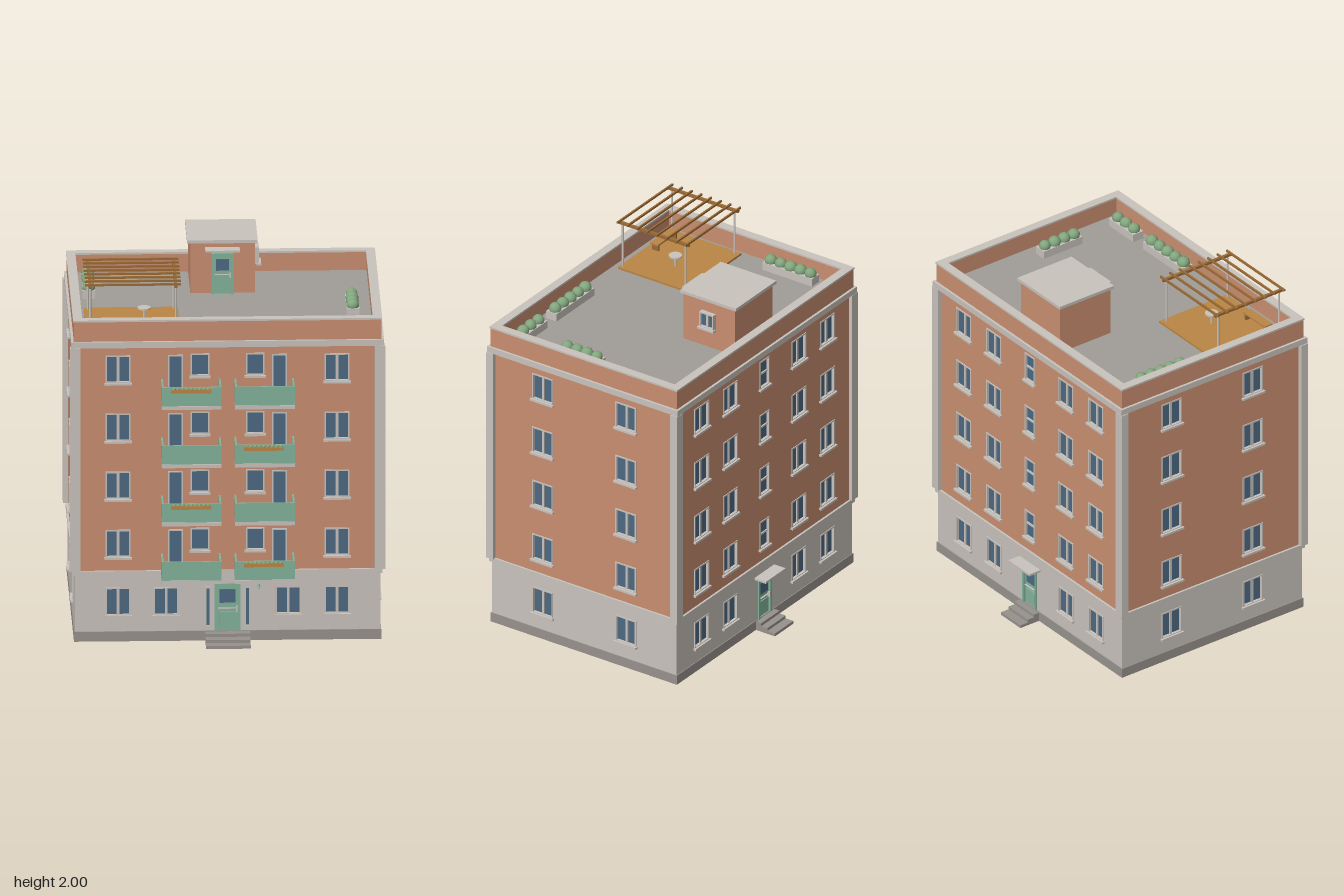
import * as THREE from 'three';

const paint = (name, color) => {
  const m = new THREE.MeshStandardMaterial({ color });
  m.name = name;
  return m;
};
const M = {
  wall: paint('terracotta', 0xc98e70), stone: paint('pale stone', 0xc9c3bd),
  plinth: paint('plinth grey', 0x97928d), roof: paint('roof grey', 0xa19d97),
  mint: paint('mint', 0x83b39b), glass: paint('window glass', 0x4c6982),
  wood: paint('deck wood', 0xbb8645), beam: paint('beam wood', 0x9a6a35),
  leaf: paint('foliage', 0x83a87f),
};
const HW = 0.82, HD = 0.605, ZC = -0.02, T = 0.03, ROOF = 1.7, STEP = 0.328;

function add(parent, name, geo, mat, x = 0, y = 0, z = 0) {
  const m = new THREE.Mesh(geo, mat);
  m.name = name;
  m.position.set(x, y, z);
  parent.add(m);
  return m;
}
// Box given by its minimum and maximum on each axis
function box(parent, name, mat, x0, x1, y0, y1, z0, z1) {
  return add(parent, name, new THREE.BoxGeometry(x1 - x0, y1 - y0, z1 - z0), mat,
    (x0 + x1) / 2, (y0 + y1) / 2, (z0 + z1) / 2);
}
function group(parent, name) {
  const g = new THREE.Group();
  g.name = name;
  parent.add(g);
  return g;
}
function rect(P, x0, x1, y0, y1) {
  const p = new P();
  p.moveTo(x0, y0).lineTo(x1, y0).lineTo(x1, y1).lineTo(x0, y1).closePath();
  return p;
}
// Rectangular plate with rectangular holes, from z = 0 to z = depth
function plate(x0, x1, y0, y1, holes, depth) {
  const s = rect(THREE.Shape, x0, x1, y0, y1);
  s.holes = holes.map((h) => rect(THREE.Path, ...h));
  return new THREE.ExtrudeGeometry(s, { depth, bevelEnabled: false });
}
// Horizontal band around the whole building
function ring(parent, name, mat, out, thick, y0, y1) {
  const w = HW + out, d = HD + out;
  const geo = plate(-w, w, -d, d, [[-w + thick, w - thick, -d + thick, d - thick]], y1 - y0);
  geo.rotateX(-Math.PI / 2);
  add(parent, name, geo, mat, 0, y0, ZC);
}

// Window set in a wall whose outer face is at local z = 0
function windowUnit(parent, o) {
  const { x, w, y0, y1, kind } = o, f = 0.008;
  const g = group(parent, kind === 'door' ? 'balconyDoor' : 'window');
  const a = x - w / 2, b = x + w / 2;
  add(g, 'frame', plate(a, b, y0, y1, [[a + f, b - f, y0 + f, y1 - f]], 0.028), M.stone, 0, 0, -0.024);
  box(g, 'pane', M.glass, a + f, b - f, y0 + f, y1 - f, -0.02, -0.012);
  if (kind === 'double') box(g, 'mullion', M.stone, x - 0.007, x + 0.007, y0 + f, y1 - f, -0.012, -0.004);
  if (kind === 'stair') box(g, 'transom', M.stone, a + f, b - f, (y0 + y1) / 2 - 0.005, (y0 + y1) / 2 + 0.005, -0.012, -0.004);
  if (kind !== 'door' && kind !== 'slim') box(g, 'sill', M.stone, a - 0.007, b + 0.007, y0 - 0.008, y0 + 0.004, -0.01, 0.016);
}

// Panelled door with a small light in its upper half
function doorUnit(parent, name, w, y0, y1, depth = 0) {
  const g = group(parent, name), h = w / 2, f = 0.012;
  add(g, 'frame', plate(-h, h, y0, y1, [[-h + f, h - f, y0, y1 - f]], 0.03), M.mint, 0, 0, -0.022 + depth);
  box(g, 'leaf', M.mint, -h + f, h - f, y0, y1 - f, -0.02 + depth, -0.006 + depth);
  const top = y1 - 0.035, H = y1 - y0;
  box(g, 'light', M.glass, -h * 0.6, h * 0.6, top - H * 0.28, top, -0.006 + depth, -0.002 + depth);
  box(g, 'rail', M.stone, -h * 0.72, h * 0.72, y0 + H * 0.47, y0 + H * 0.485, -0.006 + depth, 0.004 + depth);
  box(g, 'panel', M.mint, -h * 0.6, h * 0.6, y0 + H * 0.1, y0 + H * 0.4, -0.006 + depth, 0 + depth);
  box(g, 'handle', M.stone, h * 0.66, h * 0.76, y0 + H * 0.4, y0 + H * 0.52, -0.006 + depth, 0.008 + depth);
}

// One facade: two wall fields pierced by the openings, then their windows
function facade(parent, name, half, dist, angle, openings, doorHole) {
  const turn = group(parent, name);
  turn.position.z = ZC;
  turn.rotation.y = angle;
  const g = group(turn, name + 'Parts');
  g.position.z = dist;
  const hole = (o) => [o.x - o.w / 2, o.x + o.w / 2, o.y0, o.y1];
  const low = openings.filter((o) => o.y1 < 0.38).map(hole);
  if (doorHole) low.push(doorHole);
  add(g, 'groundWall', plate(-half, half, 0.05, 0.375, low, T), M.stone, 0, 0, -T);
  add(g, 'upperWall', plate(-half, half, 0.375, 1.68, openings.filter((o) => o.y1 > 0.38).map(hole), T), M.wall, 0, 0, -T);
  openings.forEach((o) => windowUnit(g, o));
  return g;
}
const column = (x, w, y0, y1, kind) =>
  [0, 1, 2, 3].map((i) => ({ x, w, y0: y0 + i * STEP, y1: y1 + i * STEP, kind }));
const pair = (x) => [...column(x, 0.135, 0.47, 0.628, 'double'), { x, w: 0.135, y0: 0.142, y1: 0.302, kind: 'double' }];
const ground = (x) => ({ x, w: 0.135, y0: 0.142, y1: 0.302, kind: 'double' });

function steps(parent, half, reach) {
  const g = group(parent, 'entranceSteps');
  reach.forEach((r, i) => box(g, 'step', M.plinth, -half, half, i * 0.017, (i + 1) * 0.017, -0.01, r));
}

// Bushes are faceted balls with a slight seeded squash
let seed = 7;
const rnd = () => (seed = (seed * 16807) % 2147483647) / 2147483647;
function bush(parent, x, y, z, r) {
  const b = add(parent, 'bush', new THREE.IcosahedronGeometry(r, 1), M.leaf, x, y, z);
  b.rotation.set(rnd() * 3, rnd() * 3, rnd() * 3);
  b.scale.set(0.95 + rnd() * 0.12, 0.95 + rnd() * 0.12, 0.95 + rnd() * 0.12);
}
function planter(parent, x0, x1, z0, z1, n) {
  const g = group(parent, 'roofPlanter');
  box(g, 'trough', M.stone, x0, x1, ROOF, ROOF + 0.045, z0, z1);
  const alongX = x1 - x0 > z1 - z0;
  for (let i = 0; i < n; i++) {
    const t = (i + 0.5) / n;
    bush(g, alongX ? x0 + (x1 - x0) * t : (x0 + x1) / 2, ROOF + 0.055, alongX ? (z0 + z1) / 2 : z0 + (z1 - z0) * t, 0.034);
  }
}

// Slab with three mint parapet panels and an optional flower box
function balcony(parent, x, y, boxX) {
  const g = group(parent, 'balcony'), h = 0.16, t = 0.01, zf = 0.735;
  box(g, 'slab', M.stone, x - h, x + h, y, y + 0.02, 0.575, zf + 0.005);
  box(g, 'frontPanel', M.mint, x - h, x + h, y + 0.02, y + 0.125, zf - t, zf);
  for (const s of [-1, 1]) {
    const c = x + s * (h - t / 2);
    box(g, 'sidePanel', M.mint, c - t / 2, c + t / 2, y + 0.02, y + 0.125, 0.58, zf - t);
  }
  if (boxX === undefined) return;
  box(g, 'flowerBox', M.wood, boxX - 0.108, boxX + 0.108, y + 0.098, y + 0.117, zf, zf + 0.02);
  for (let i = 0; i < 9; i++) bush(g, boxX - 0.092 + i * 0.023, y + 0.118, zf + 0.009, 0.009);
}

export function createModel() {
  const model = new THREE.Group();
  model.name = 'apartmentBuilding';

  // Facades
  const frontOpenings = [...pair(-0.588), ...pair(0.588), ground(-0.33), ground(0.326)];
  for (const s of [-1, 1]) {
    frontOpenings.push(...column(s * 0.148, 0.1, 0.505, 0.635, 'single'),
      ...column(s * 0.279, 0.08, 0.386, 0.628, 'door'),
      { x: s * 0.106, w: 0.032, y0: 0.075, y1: 0.302, kind: 'slim' });
  }
  const front = facade(model, 'frontFacade', HW, HD, 0, frontOpenings, [-0.07, 0.07, 0.051, 0.32]);
  doorUnit(front, 'frontDoor', 0.14, 0.051, 0.32);
  steps(front, 0.12, [0.155, 0.105, 0.05]);
  const backOpenings = [-0.588, -0.32, 0.32, 0.588].flatMap(pair).concat(column(0, 0.09, 0.47, 0.64, 'stair'));
  const back = facade(model, 'backFacade', HW, HD, Math.PI, backOpenings, [-0.06, 0.06, 0.051, 0.29]);
  doorUnit(back, 'backDoor', 0.12, 0.051, 0.29);
  box(back, 'backCanopy', M.stone, -0.093, 0.093, 0.308, 0.32, -0.01, 0.075);
  steps(back, 0.086, [0.13, 0.08, 0.04]);
  for (const s of [-1, 1]) {
    facade(model, s > 0 ? 'leftFacade' : 'rightFacade', HD - T, HW, s * Math.PI / 2, [...pair(-0.273), ...pair(0.273)]);
  }

  // Bands, corner pilasters and parapet
  ring(model, 'plinth', M.plinth, 0.005, 0.035, 0, 0.055);
  ring(model, 'beltCourse', M.stone, 0.012, 0.042, 0.373, 0.398);
  ring(model, 'cornice', M.stone, 0.02, 0.05, 1.658, 1.692);
  ring(model, 'parapet', M.wall, 0.006, 0.042, 1.692, 1.802);
  ring(model, 'parapetCap', M.stone, 0.01, 0.05, 1.802, 1.812);
  for (const sx of [-1, 1]) for (const sz of [-1, 1]) {
    add(model, 'cornerPilaster', new THREE.BoxGeometry(0.056, 1.26, 0.045), M.stone,
      sx * 0.818, 1.028, ZC + sz * 0.604);
  }
  box(model, 'roofDeck', M.roof, -0.8, 0.8, ROOF - 0.03, ROOF, ZC - 0.585, ZC + 0.585);

  // Balconies with alternating flower boxes
  for (let i = 0; i < 4; i++) {
    const y = 0.366 + i * STEP;
    balcony(model, -0.198, y, i % 2 ? -0.2 : undefined);
    balcony(model, 0.196, y, i % 2 ? undefined : 0.19);
  }

  // Wall lamp beside the entrance
  const lamp = group(model, 'wallLamp');
  box(lamp, 'bracket', M.mint, 0.161, 0.171, 0.325, 0.333, 0.58, 0.617);
  add(lamp, 'shade', new THREE.CylinderGeometry(0.005, 0.011, 0.018, 10), M.mint, 0.166, 0.318, 0.613);
  add(lamp, 'bulb', new THREE.SphereGeometry(0.008, 10, 8), M.stone, 0.166, 0.305, 0.613);

  // Stair house on the roof
  const house = group(model, 'stairHouse');
  box(house, 'walls', M.wall, -0.175, 0.172, ROOF, 1.982, -0.555, -0.215);
  box(house, 'roofSlab', M.stone, -0.192, 0.187, 1.982, 2, -0.57, -0.205);
  const houseFront = group(house, 'houseFront');
  houseFront.position.set(-0.003, 0, -0.215);
  doorUnit(houseFront, 'roofDoor', 0.118, ROOF, 1.93, 0.021);
  box(houseFront, 'doorCanopy', M.stone, -0.093, 0.093, 1.948, 1.958, -0.005, 0.065);
  const houseSide = group(house, 'houseSide');
  houseSide.position.set(0.194, 0, -0.383);
  houseSide.rotation.y = Math.PI / 2;
  windowUnit(houseSide, { x: 0, w: 0.092, y0: 1.822, y1: 1.915, kind: 'double' });

  // Pergola terrace
  const pergola = group(model, 'pergola');
  box(pergola, 'deck', M.wood, -0.755, -0.25, ROOF, ROOF + 0.012, 0.055, 0.51);
  for (const x of [-0.735, -0.275]) {
    box(pergola, 'beam', M.beam, x - 0.008, x + 0.008, 1.968, 1.982, 0.06, 0.525);
    for (const z of [0.085, 0.495]) {
      add(pergola, 'post', new THREE.CylinderGeometry(0.006, 0.006, 0.26, 10), M.stone, x, 1.84, z);
    }
  }
  for (let i = 0; i < 8; i++) {
    const z = 0.066 + i * 0.0635;
    box(pergola, 'slat', M.beam, -0.763, -0.247, 1.98, 1.991, z - 0.005, z + 0.005);
  }
  box(pergola, 'benchSeat', M.wood, -0.7, -0.505, 1.748, 1.758, 0.425, 0.478);
  for (const x of [-0.69, -0.525]) box(pergola, 'benchLeg', M.beam, x, x + 0.01, ROOF, 1.748, 0.43, 0.473);
  add(pergola, 'tableTop', new THREE.CylinderGeometry(0.036, 0.036, 0.008, 24), M.stone, -0.438, 1.775, 0.265);
  add(pergola, 'tableLeg', new THREE.CylinderGeometry(0.006, 0.006, 0.07, 10), M.stone, -0.438, 1.738, 0.265);

  // Roof planters
  planter(model, -0.755, -0.688, -0.455, -0.13, 5);
  planter(model, 0.65, 0.72, -0.04, 0.218, 4);
  planter(model, 0.062, 0.413, 0.446, 0.515, 5);
  planter(model, 0.5, 0.716, 0.446, 0.515, 3);
  return model;
}
